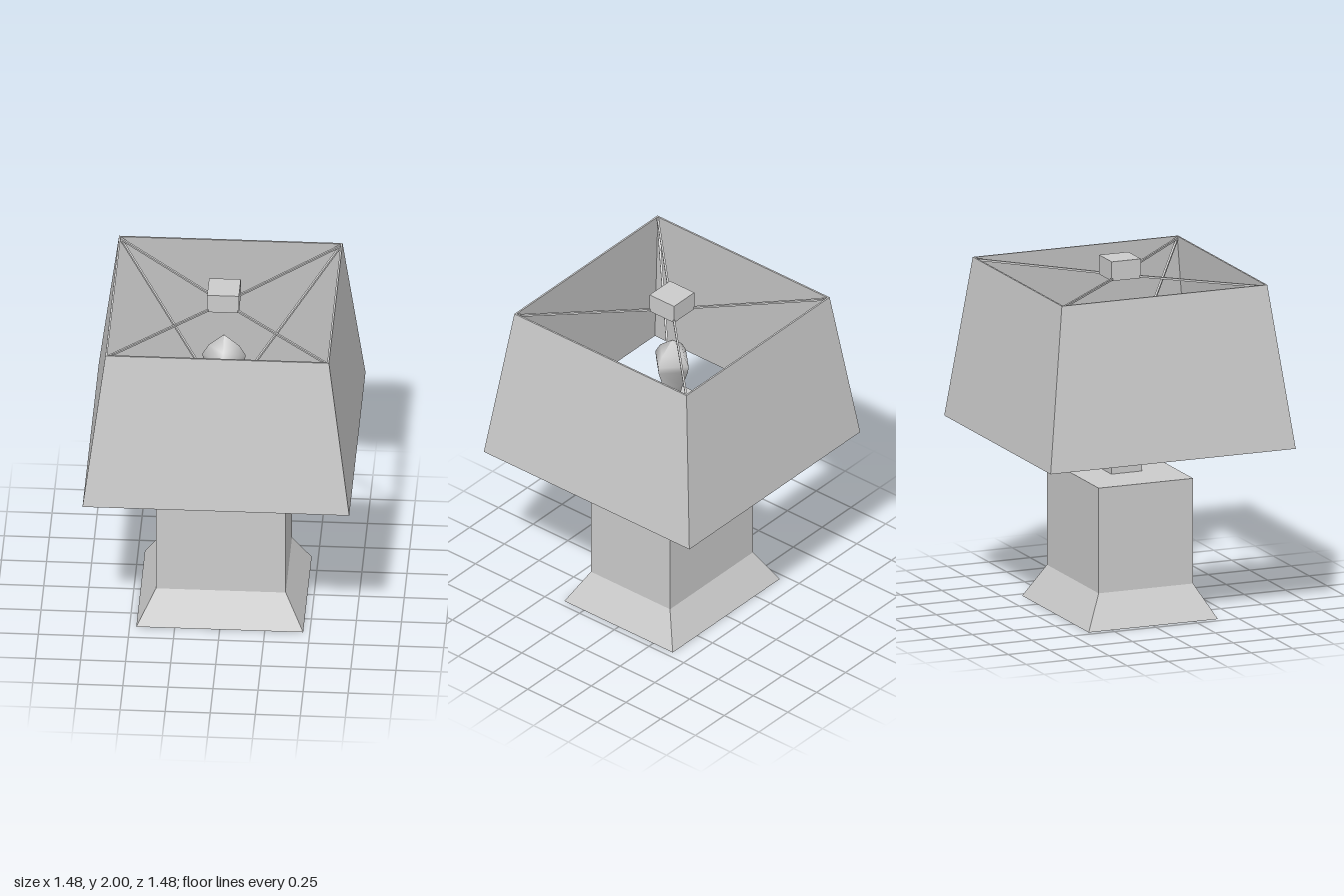
import * as THREE from 'three';

const flat = new THREE.MeshStandardMaterial({ color: 0xcccccc, flatShading: true });
const smooth = new THREE.MeshStandardMaterial({ color: 0xcccccc });

export function createModel() {
  const lamp = new THREE.Group();
  lamp.name = 'tableLamp';

  const add = (name, geometry, material = flat) => {
    const mesh = new THREE.Mesh(geometry, material);
    mesh.name = name;
    lamp.add(mesh);
    return mesh;
  };

  // Box between two heights; bottom and top are [half width, half depth]
  const block = (name, y0, y1, bottom, top = bottom) => {
    const g = new THREE.BoxGeometry(2, 2, 2);
    const p = g.attributes.position;
    for (let i = 0; i < p.count; i++) {
      const upper = p.getY(i) > 0;
      const [hx, hz] = upper ? top : bottom;
      p.setXYZ(i, p.getX(i) * hx, upper ? y1 : y0, p.getZ(i) * hz);
    }
    g.computeVertexNormals();
    return add(name, g);
  };

  // Thin square rod between two points
  const up = new THREE.Vector3(0, 1, 0);
  const rod = (name, a, b) => {
    const dir = b.clone().sub(a);
    const g = new THREE.CylinderGeometry(0.008, 0.008, dir.length(), 4);
    const mesh = add(name, g);
    mesh.position.copy(a).add(b).multiplyScalar(0.5);
    mesh.quaternion.setFromUnitVectors(up, dir.normalize());
  };

  // Base, post and finial
  block('baseFlare', 0, 0.19, [0.463, 0.39], [0.36, 0.285]);
  block('baseBody', 0.19, 0.79, [0.36, 0.285]);
  block('post', 0.79, 1.33, [0.092, 0.092]);
  block('finial', 1.89, 2, [0.088, 0.088]);

  // Four-sided bulb with its corners on the x and z axes
  const bulbProfile = [[0, 1.33], [0.055, 1.33], [0.075, 1.41], [0.115, 1.52], [0.12, 1.56], [0.085, 1.62], [0, 1.69]];
  add('bulb', new THREE.LatheGeometry(bulbProfile.map(([r, y]) => new THREE.Vector2(r, y)), 4), smooth);

  // Square shade: a thin tapered wall, open above and below
  const wall = [[0.74, 1], [0.62, 1.92], [0.61, 1.92], [0.73, 1], [0.74, 1]];
  const shade = new THREE.LatheGeometry(
    wall.map(([h, y]) => new THREE.Vector2(h * Math.SQRT2, y)), 4, Math.PI / 4).toNonIndexed();
  shade.computeVertexNormals();
  add('shade', shade);

  // Rods from each upper shade corner to the finial and to the post
  for (const sx of [-1, 1]) for (const sz of [-1, 1]) {
    const at = (h, y) => new THREE.Vector3(sx * h, y, sz * h);
    rod('upperRod', at(0.612, 1.908), at(0.084, 1.9));
    rod('lowerRod', at(0.612, 1.908), at(0.086, 1.325));
  }

  return lamp;
}
